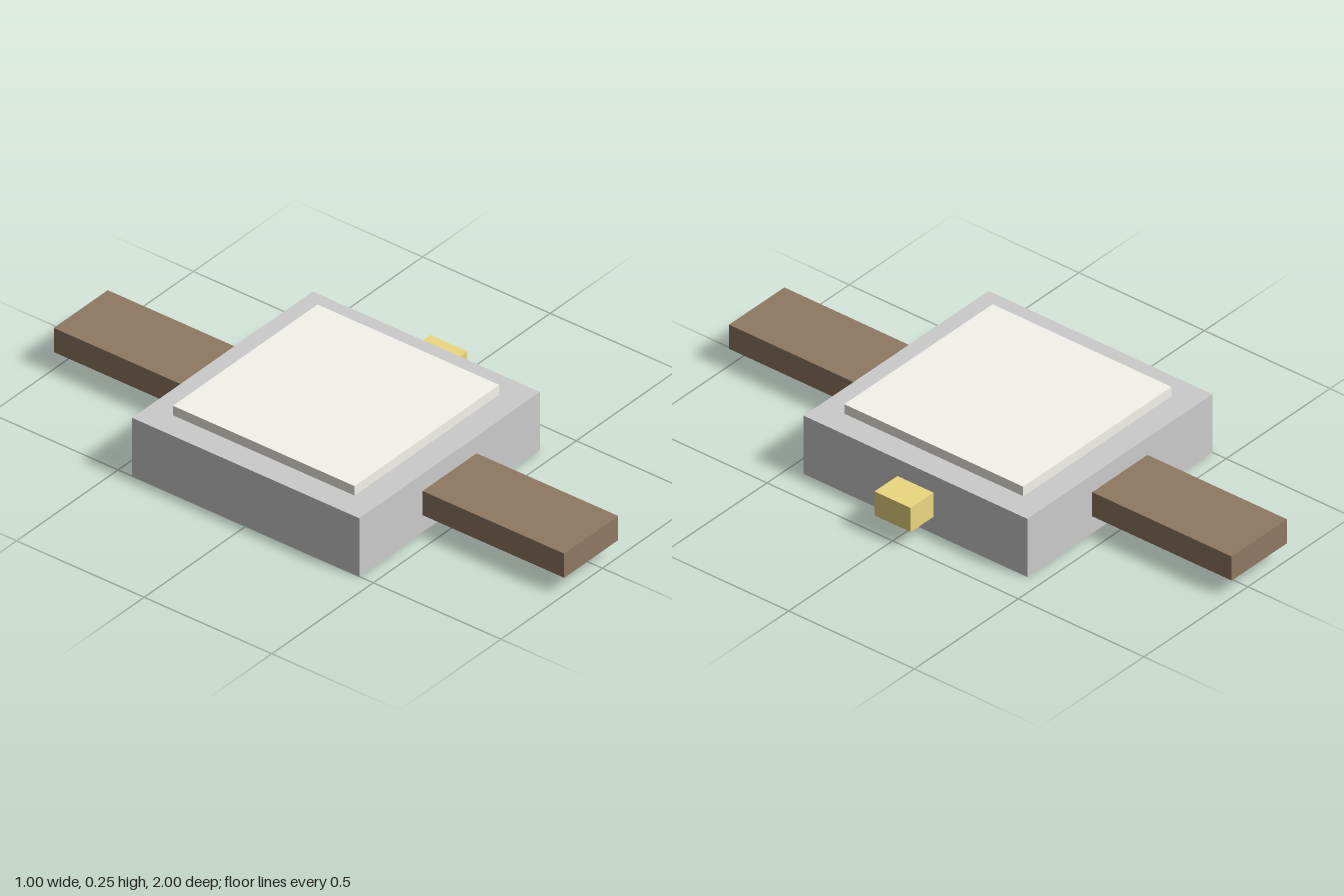
import * as THREE from 'three';

// Box given by its min and max corners
function box(name, color, [x0, y0, z0], [x1, y1, z1]) {
  const geometry = new THREE.BoxGeometry(x1 - x0, y1 - y0, z1 - z0);
  const material = new THREE.MeshStandardMaterial({ color });
  const mesh = new THREE.Mesh(geometry, material);
  mesh.name = name;
  mesh.position.set((x0 + x1) / 2, (y0 + y1) / 2, (z0 + z1) / 2);
  return mesh;
}

export function createModel() {
  const group = new THREE.Group();
  group.name = 'wristwatch';

  // Square case with a raised dial on top
  group.add(box('case', 0xcccccc, [-0.5, 0, -0.445], [0.39, 0.215, 0.445]));
  group.add(box('dial', 0xf4f3ec, [-0.411, 0.215, -0.356], [0.302, 0.25, 0.356]));

  // Winding crown on the left side
  group.add(box('crown', 0xecd880, [0.39, 0.063, -0.072], [0.5, 0.152, 0.072]));

  // Strap halves at front and back
  const strap = 0x8f7862;
  group.add(box('frontStrap', strap, [-0.188, 0.063, 0.445], [0.078, 0.152, 1]));
  group.add(box('backStrap', strap, [-0.188, 0.063, -1], [0.078, 0.152, -0.445]));

  return group;
}
